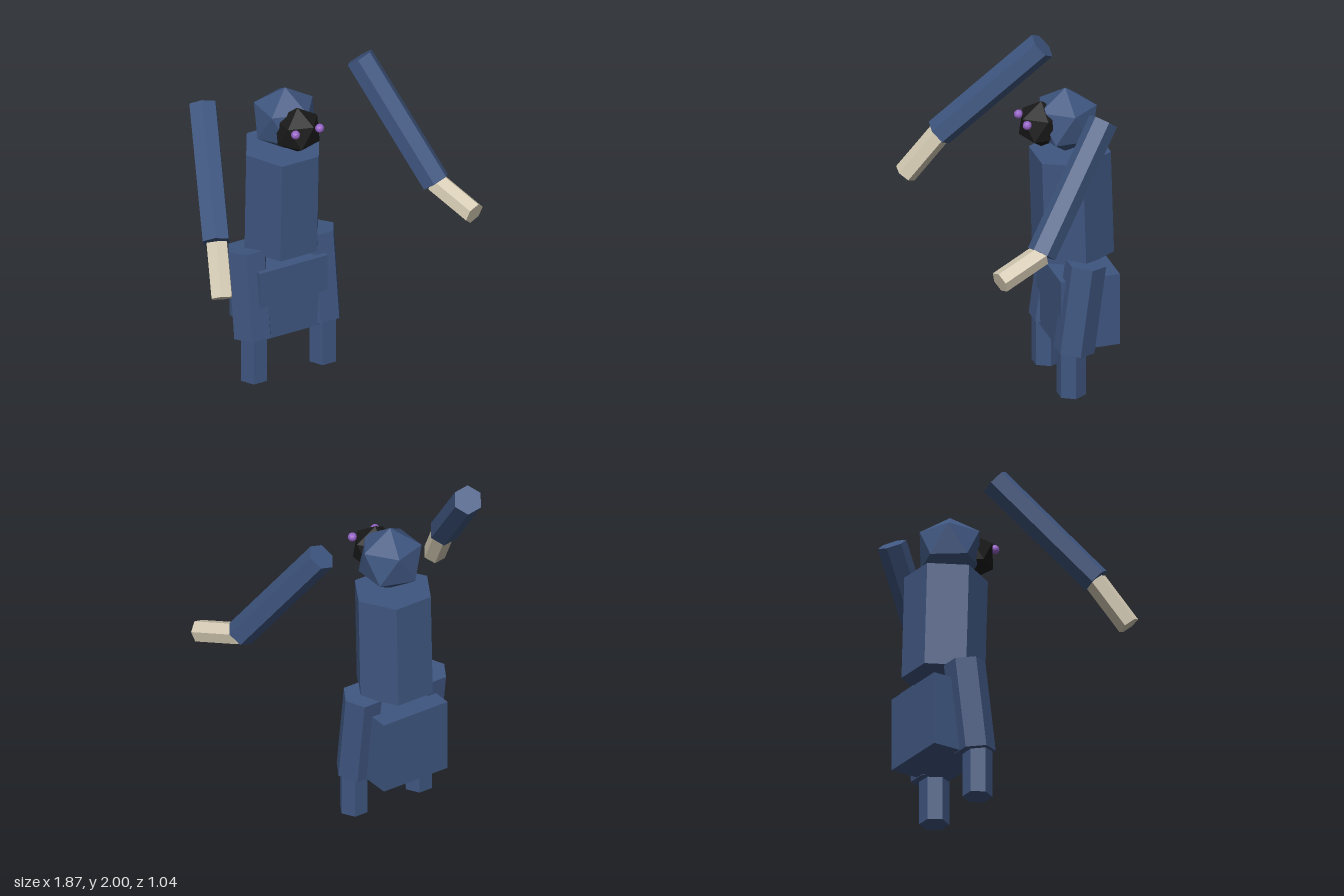
import * as THREE from 'three';

const mat = (name, color) => {
  const m = new THREE.MeshStandardMaterial({ color, flatShading: true });
  m.name = name;
  return m;
};

export function createModel() {
  const blue = mat('slate blue', 0x3f5680);
  const bone = mat('bone', 0xd6ccb5);
  const black = mat('black', 0x1a1a1a);
  const purple = mat('purple', 0x9462c4);

  const model = new THREE.Group();
  model.name = 'figure';
  const cx = -0.03; // body centre line

  const add = (name, geometry, material, x, y, z) => {
    const mesh = new THREE.Mesh(geometry, material);
    mesh.name = name;
    mesh.position.set(x, y, z);
    model.add(mesh);
    return mesh;
  };

  // six-sided prism with corners pointing to both sides
  const prism = (radius, height) =>
    new THREE.CylinderGeometry(radius, radius, height, 6).rotateY(Math.PI / 6);

  // prism running between two points
  const limb = (name, from, to, radius, material) => {
    const a = new THREE.Vector3(...from);
    const b = new THREE.Vector3(...to);
    const mid = a.clone().add(b).multiplyScalar(0.5);
    const mesh = add(name, prism(radius, a.distanceTo(b)), material, mid.x, mid.y, mid.z);
    mesh.quaternion.setFromUnitVectors(new THREE.Vector3(0, 1, 0), a.sub(b).normalize());
  };

  // twenty-sided ball with a corner straight up
  const ball = (radius) => new THREE.IcosahedronGeometry(radius, 0).rotateZ(-Math.atan(2 / (1 + Math.sqrt(5))));

  // torso and pelvis
  add('torso', prism(0.25, 0.665), blue, cx, 1.17, -0.295).rotation.x = 0.03;
  add('pelvis', new THREE.BoxGeometry(0.465, 0.465, 0.37), blue, cx, 0.51, -0.337);

  // head, face and eyes
  add('head', ball(0.21), blue, cx, 1.705, -0.257);
  add('face', ball(0.15), black, cx, 1.7, -0.105);
  for (const [side, s] of [['left', 1], ['right', -1]]) {
    add(side + 'Eye', new THREE.IcosahedronGeometry(0.028, 1), purple, cx + 0.004 + s * 0.082, 1.745, 0.012);

    // legs
    const x = cx + s * 0.235;
    add(side + 'Thigh', prism(0.125, 0.57), blue, x, 0.57, -0.27).rotation.x = -0.13;
    add(side + 'Shin', prism(0.09, 0.32), blue, x, 0.16, -0.215);
  }

  // arms and hands, posed differently on each side
  limb('rightArm', [-0.572, 1.935, -0.293], [-0.8, 1.34, 0.28], 0.09, blue);
  limb('rightHand', [-0.795, 1.335, 0.28], [-0.866, 1.067, 0.47], 0.07, bone);
  limb('leftArm', [0.512, 1.938, -0.315], [0.768, 1.247, 0.16], 0.09, blue);
  limb('leftHand', [0.77, 1.245, 0.165], [0.866, 1.15, 0.455], 0.07, bone);

  return model;
}
